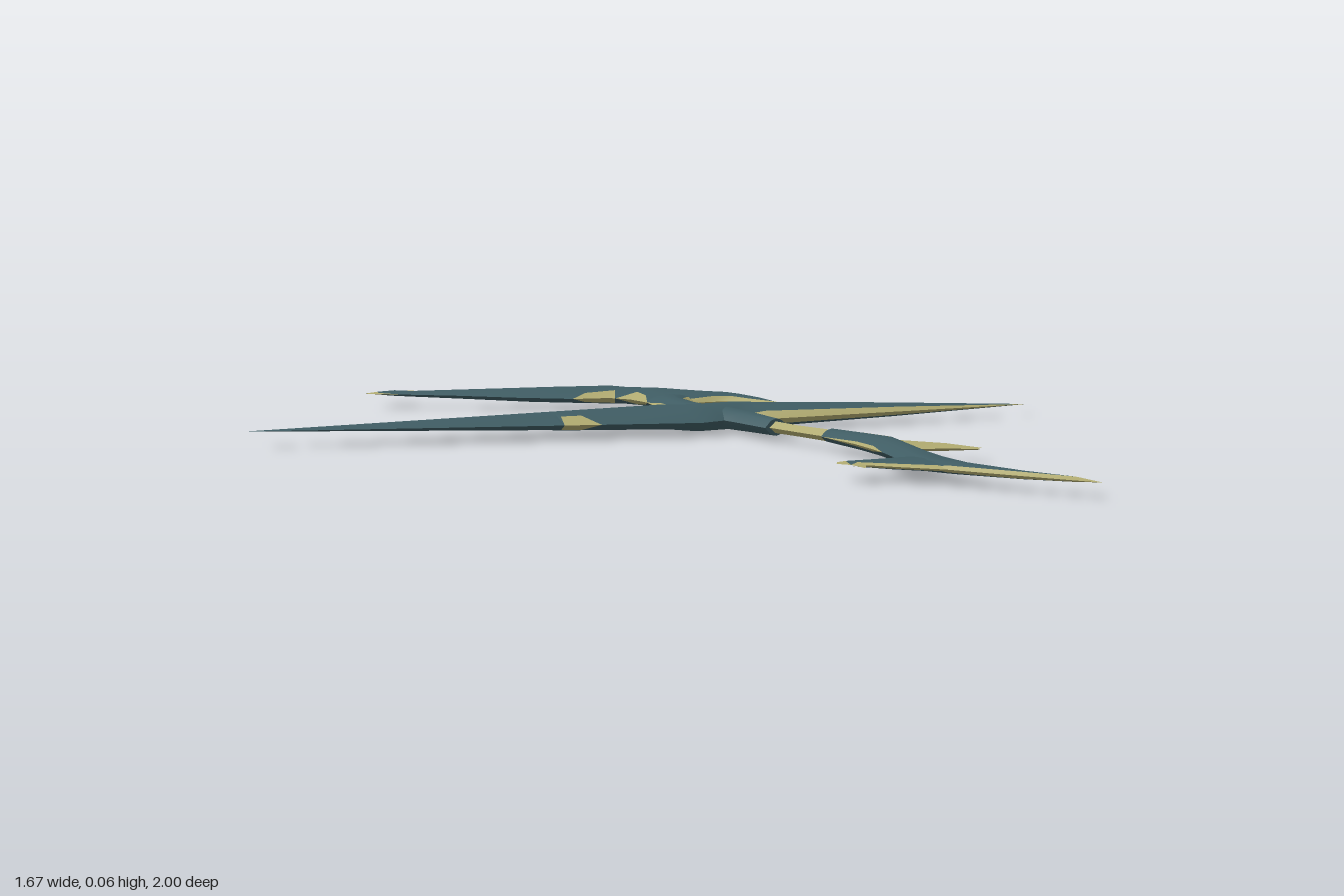
import * as THREE from 'three';
import { toCreasedNormals } from 'three/addons/utils/BufferGeometryUtils.js';

const materials = {};
function addMaterial(name, color) {
  materials[name] = new THREE.MeshStandardMaterial({ color });
  materials[name].name = name;
}

// Height of the central plane; it tilts very slightly across x
const midY = (x) => 0.032 - 0.006 * x;

// Lofts a lens-shaped plate. Each row, in hundredths of a unit:
// [edge A x, z, edge B x, z, half thickness, trim fraction at A, at B, trim A colour]
function plate(group, name, rows) {
  const sections = rows.map(([ax, az, bx, bz, h, ta = 0, tb = 0]) => {
    const ts = [0, ta, (ta + 0.5) / 2, 0.5, 1 - (tb + 0.5) / 2, 1 - tb, 1];
    return ts.map((t) => ({
      x: (ax + (bx - ax) * t) / 100,
      z: (az + (bz - az) * t) / 100,
      h: (h / 100) * Math.pow(Math.max(0, Math.sin(Math.PI * t)), 0.75),
    }));
  });
  const buckets = { trim: [], body: [], gem: [] };

  function triangle(out, corners, side) {
    const [a, b, c] = corners.map((p) => new THREE.Vector3(p.x, midY(p.x) + side * p.h, p.z));
    const n = b.clone().sub(a).cross(c.clone().sub(a));
    if (n.length() < 1e-9) return;
    const order = n.y * side >= 0 ? [a, b, c] : [a, c, b];
    for (const v of order) out.push(v.x, v.y, v.z);
  }

  for (let i = 0; i < sections.length - 1; i++) {
    const p = sections[i], q = sections[i + 1];
    for (let j = 0; j < 6; j++) {
      const colour = j === 0 ? rows[i][7] || 'trim' : j === 5 ? 'trim' : 'body';
      for (const side of [1, -1]) {
        triangle(buckets[colour], [p[j], p[j + 1], q[j]], side);
        triangle(buckets[colour], [p[j + 1], q[j + 1], q[j]], side);
      }
    }
  }

  const part = new THREE.Group();
  part.name = name;
  for (const key in buckets) {
    if (!buckets[key].length) continue;
    const geometry = new THREE.BufferGeometry();
    geometry.setAttribute('position', new THREE.Float32BufferAttribute(buckets[key], 3));
    const mesh = new THREE.Mesh(toCreasedNormals(geometry, 0.6), materials[key]);
    mesh.name = name + key[0].toUpperCase() + key.slice(1);
    part.add(mesh);
  }
  group.add(part);
}

export function createModel() {
  addMaterial('body', 0x3f5c63);
  addMaterial('trim', 0xb0aa70);
  addMaterial('gem', 0x3f9270);
  const model = new THREE.Group();
  model.name = 'bladedStaff';

  // Crossing spike: long half widens evenly from its tip to the hub
  const spike = (x, ta, tb, colour) => {
    const d = x + 83.6;
    return [x, -58.2 + 0.298 * d, x, -58.2 + 0.583 * d, 0.032 * d, ta, tb, colour];
  };
  plate(model, 'crossSpike', [
    spike(-83.6, 0.4, 0),
    spike(-43, 0.4, 0, 'gem'),
    spike(-40, 0.4, 0),
    spike(-24.5, 0.4, 0),
    spike(-23, 0.4, 0.25),
    spike(-19, 0.4, 0.25),
    spike(-17.5, 0.4, 0),
    spike(1.6, 0.4, 0),
    [5.3, -23.8, 7.9, -8.5, 3.1, 0.12, 0],
    [15.3, -20.6, 14.8, -8.5, 3.1, 0.12, 0.05],
    [17.5, -22.2, 18.5, -4.2, 2.9, 0.3, 0.14],
    [50.3, -4.5, 50.3, 4.5, 1.6, 0.28, 0.16],
    [83, 13.2, 83, 13.2, 0, 0.28, 0.16],
  ]);

  // Crescent axe blade with a barbed upper end
  plate(model, 'crescentBlade', [
    [-19.6, -100, -28.6, -100, 0.2, 0.5, 0.4],
    [-15.3, -97.9, -27, -97.9, 0.5, 0.6, 0.1],
    [-19, -96.3, -25.4, -96.3, 0.6, 0.4, 0.05],
    [-16.9, -92.6, -22.2, -92.6, 0.7, 0.3, 0],
    [0, -80.4, -13.2, -82.5, 1.3, 0.2, 0],
    [13.2, -73.5, -4.2, -70.4, 1.8, 0.16, 0],
    [24.5, -67.8, 4.8, -60.5, 2, 0.16, 0],
    [25.9, -67.2, 5.8, -59.8, 2, 0.17, 0.15],
    [24.3, -62.4, 12.7, -56.6, 2, 0.12, 0.25],
    [26, -60, 13.3, -55, 2, 0.14, 0],
    [29.1, -56.6, 14.8, -51.3, 2.1, 0.16, 0.22],
    [32, -52.5, 14.6, -47.5, 2.1, 0.14, 0.15],
    [33.3, -50.3, 14.3, -43.9, 2.1, 0.13, 0],
    [35.4, -46, 18.5, -37, 2, 0.13, 0.1],
    [37.6, -39.7, 26.5, -36, 1.8, 0.16, 0.2],
    [38.1, -35.4, 30.2, -34.4, 1.5, 0.2, 0.25],
    [38.6, -29.1, 32.3, -30.7, 1.1, 0.25, 0.25],
    [38.1, -23.8, 34.4, -23.3, 0.6, 0.5, 0.5],
    [38.1, -19, 37.6, -20, 0, 0.5, 0.5],
  ]);

  // Neck joining the crescent to the hub
  plate(model, 'neck', [
    [27, -40, 15.5, -47, 1.6, 0, 0],
    [24, -37, 14.3, -44, 2, 0.2, 0],
    [18.5, -31.7, 11, -36, 2.2, 0.32, 0.1],
    [14.8, -22, 6.5, -26, 2.5, 0.25, 0.15],
    [14, -15, 4, -17, 2.8, 0.1, 0.1],
  ]);

  // Socket and slim rod
  plate(model, 'socket', [
    [15, -12, 8, -12, 2.5, 0.05, 0],
    [14.6, -4, 7.8, -4, 2.3, 0.05, 0],
    [12.7, 6.9, 6.9, 6.3, 1.9, 0.08, 0],
    [12.5, 7, 7.2, 6.4, 0, 0.08, 0],
  ]);
  plate(model, 'rod', [
    [11.3, 5, 8, 5, 1.3, 0.5, 0.5],
    [11.1, 14, 7.9, 14, 1.2, 0.5, 0.5],
    [11.7, 25, 8, 25, 1.3, 0.5, 0.5],
  ]);

  // Tail grip running to a curved point
  plate(model, 'tailGrip', [
    [13, 23.7, 7.6, 23.2, 0, 0.1, 0],
    [13.2, 23.8, 7.4, 23.3, 1.5, 0.1, 0],
    [13.2, 34.4, 5.3, 36, 1.8, 0.16, 0.06],
    [13.2, 41.3, 3.2, 42.9, 2, 0.16, 0.06],
    [9.5, 48.7, 1.6, 47.6, 2, 0.2, 0],
    [6, 57, -2.6, 56.6, 1.8, 0.22, 0],
    [4.2, 63.5, -6, 66, 1.5, 0.22, 0],
    [2.6, 72.5, -4.8, 70.4, 1.2, 0.25, 0.15],
    [3.7, 84.7, 0.5, 84.7, 0.8, 0.4, 0.3],
    [7.4, 94.2, 4.3, 94.2, 0.5, 0.5, 0.5],
    [6.9, 99.5, 6.5, 99.5, 0, 0.5, 0.5],
  ]);

  // Side fin and the two spurs of the tail
  plate(model, 'tailFin', [
    [2, 53, 0, 76, 1.2, 0, 0.1],
    [-1, 55, -3.7, 72.5, 1.2, 0, 0.12],
    [-8, 54, -9, 64, 0.9, 0, 0.15],
    [-14.3, 51.3, -12.7, 57.7, 0.5, 0.3, 0.3],
    [-15.9, 52.9, -15.3, 60.3, 0.2, 0.5, 0.5],
  ]);
  plate(model, 'upperSpur', [
    [11.5, 24, 11.5, 35, 1, 0.5, 0.5],
    [15, 27, 14.3, 30.5, 0.8, 0.5, 0.5],
    [19, 32, 18.6, 32.8, 0, 0.5, 0.5],
  ]);
  plate(model, 'lowerSpur', [
    [12, 38, 9.5, 48.5, 1.2, 0.5, 0.5],
    [18, 48.5, 15.9, 52, 0.8, 0.5, 0.5],
    [22, 56.5, 19.8, 56.5, 0.2, 0.5, 0.5],
  ]);

  return model;
}
